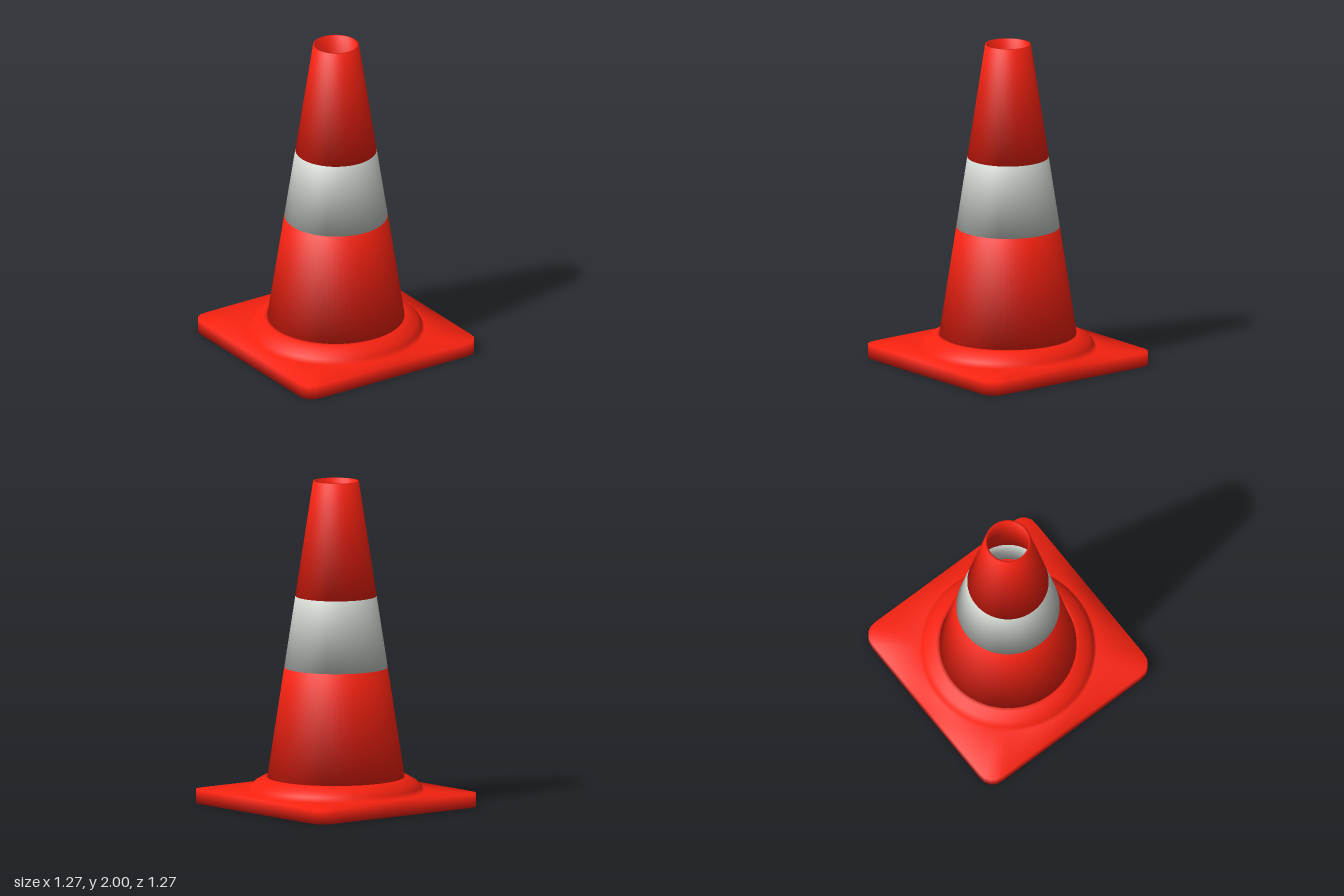
import * as THREE from 'three';

const RED = 0xfa2210, WHITE = 0xcdd2cc;
const material = (color) => new THREE.MeshStandardMaterial({ color });

// Outer radius of the tapering cone at height y
const coneRadius = (y) => THREE.MathUtils.mapLinear(y, 0.175, 2, 0.42, 0.14);

// Hollow cone section with softly shaded rims
function coneSection(name, y0, y1, color) {
  const wall = 0.012, mid = (y0 + y1) / 2;
  const profile = [
    [coneRadius(mid) - wall, mid],
    [coneRadius(y0) - wall, y0],
    [coneRadius(y0), y0],
    [coneRadius(y1), y1],
    [coneRadius(y1) - wall, y1],
    [coneRadius(mid) - wall, mid],
  ].map(([r, y]) => new THREE.Vector2(r, y));
  const geometry = new THREE.LatheGeometry(profile, 72);
  const normal = geometry.attributes.normal;
  const tilt = [0, -0.6, -0.6, 0.85, 0.85, 0];
  for (let i = 0; i < normal.count; i++) {
    const t = tilt[i % profile.length];
    if (t) normal.setY(i, t);
  }
  geometry.normalizeNormals();
  const mesh = new THREE.Mesh(geometry, material(color));
  mesh.name = name;
  return mesh;
}

// Distance from the centre to the edge of a rounded square at angle a
function squareRadius(a, half = 0.635, corner = 0.09) {
  const c = Math.abs(Math.cos(a)), s = Math.abs(Math.sin(a));
  const t = half / Math.max(c, s), k = half - corner;
  if (t * Math.min(c, s) <= k) return t;
  const d = k * (c + s);
  return d + Math.sqrt(d * d - 2 * k * k + corner * corner);
}

// Square plate rising into a round collar, with an open centre
function basePlate() {
  const sides = 144;
  // [radius, height]; a null radius follows the rounded square
  const loops = [
    [0.35, 0], [null, 0], [null, 0.085], [0.54, 0.085], [0.525, 0.115],
    [0.495, 0.145], [0.44, 0.175], [0.408, 0.175], [0.35, 0.085],
  ];
  const positions = [], index = [];
  for (const [r, y] of loops) {
    for (let i = 0; i < sides; i++) {
      const a = (i / sides) * Math.PI * 2;
      const radius = r ?? squareRadius(a);
      positions.push(radius * Math.cos(a), y, radius * Math.sin(a));
    }
  }
  for (let j = 0; j < loops.length; j++) {
    const next = (j + 1) % loops.length;
    for (let i = 0; i < sides; i++) {
      const k = (i + 1) % sides;
      const a = j * sides + i, b = next * sides + i;
      const c = next * sides + k, d = j * sides + k;
      index.push(a, b, d, b, c, d);
    }
  }
  const geometry = new THREE.BufferGeometry();
  geometry.setAttribute('position', new THREE.Float32BufferAttribute(positions, 3));
  geometry.setIndex(index);
  geometry.computeVertexNormals();
  const mesh = new THREE.Mesh(geometry, material(RED));
  mesh.name = 'basePlate';
  return mesh;
}

export function createModel() {
  const group = new THREE.Group();
  group.name = 'trafficCone';
  group.add(
    basePlate(),
    coneSection('lowerCone', 0.175, 0.85, RED),
    coneSection('reflectiveBand', 0.85, 1.29, WHITE),
    coneSection('upperCone', 1.29, 2, RED),
  );
  return group;
}
